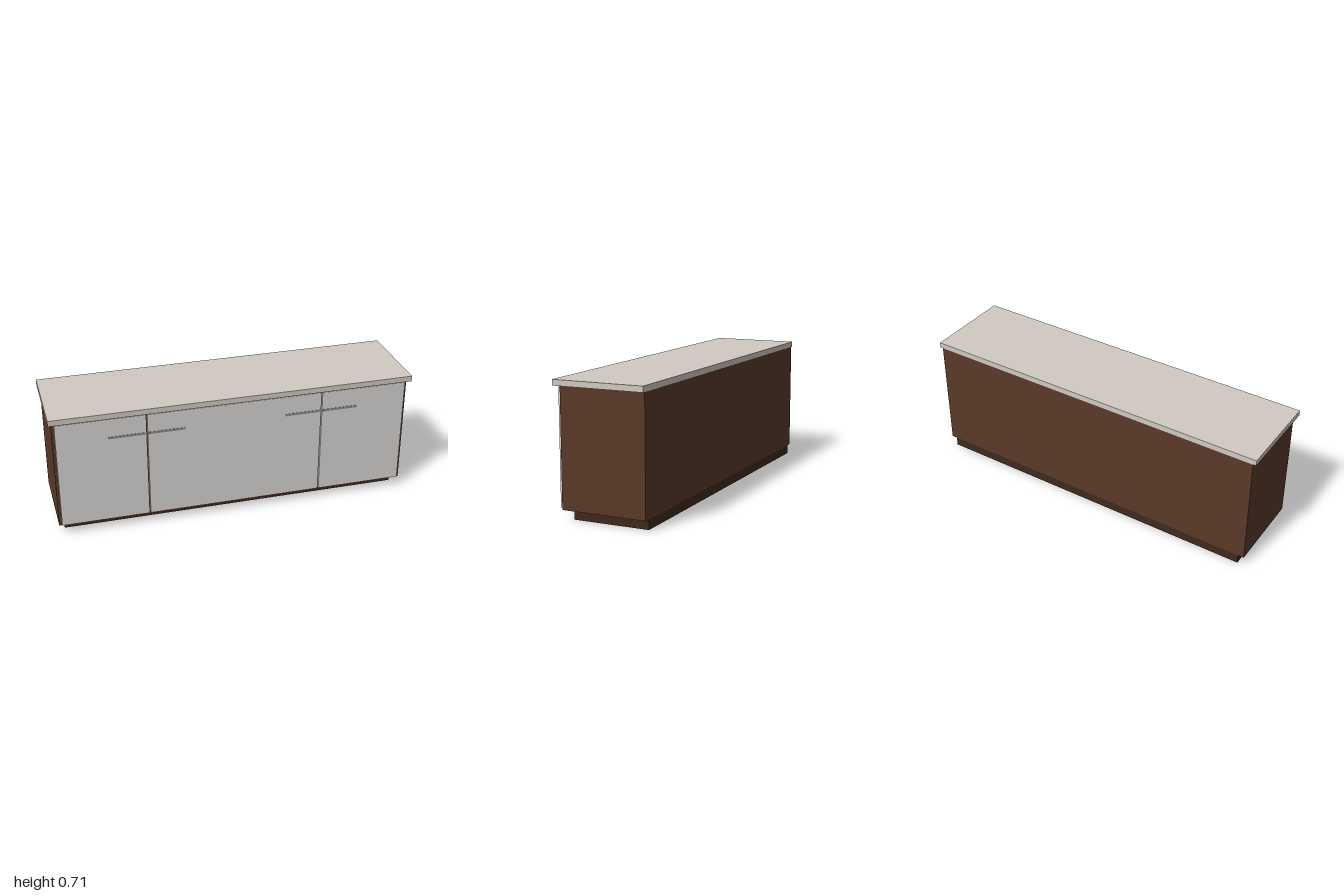
import * as THREE from 'three';

const paint = (color) => new THREE.MeshStandardMaterial({ color });

export function createModel() {
  const model = new THREE.Group();
  model.name = 'sideboard';
  const wood = paint(0x5a3a29);
  const darkWood = paint(0x40291c);
  const stone = paint(0xd0cac1);
  const lacquer = paint(0xd6d4d1);
  const metal = paint(0x8c8e8c);

  // Box given by its limits on each axis
  const box = (name, material, [x0, x1], [y0, y1], [z0, z1]) => {
    const mesh = new THREE.Mesh(new THREE.BoxGeometry(x1 - x0, y1 - y0, z1 - z0), material);
    mesh.position.set((x0 + x1) / 2, (y0 + y1) / 2, (z0 + z1) / 2);
    mesh.name = name;
    model.add(mesh);
  };

  // Recessed plinth, carcass and overhanging top
  box('plinth', darkWood, [-0.95, 0.95], [0, 0.052], [-0.25, 0.167]);
  box('carcass', wood, [-0.983, 0.983], [0.052, 0.677], [-0.25, 0.217]);
  box('countertop', stone, [-1, 1], [0.677, 0.708], [-0.25, 0.25]);

  // Front panels with narrow shadow gaps
  const panelY = [0.06, 0.667];
  const panelZ = [0.217, 0.234];
  box('centreFront', lacquer, [-0.482, 0.482], panelY, panelZ);
  for (const [side, s] of [['left', 1], ['right', -1]]) {
    const span = (a, b) => (s > 0 ? [a, b] : [-b, -a]);
    box(side + 'Front', lacquer, span(0.488, 0.968), panelY, panelZ);

    // Slim handle strips on either side of each gap
    for (const [place, a, b] of [['inner', 0.278, 0.475], ['outer', 0.492, 0.69]]) {
      box(`${side}${place === 'inner' ? 'Inner' : 'Outer'}Handle`, metal, span(a, b), [0.551, 0.564], [0.23, 0.2355]);
    }
  }
  return model;
}
